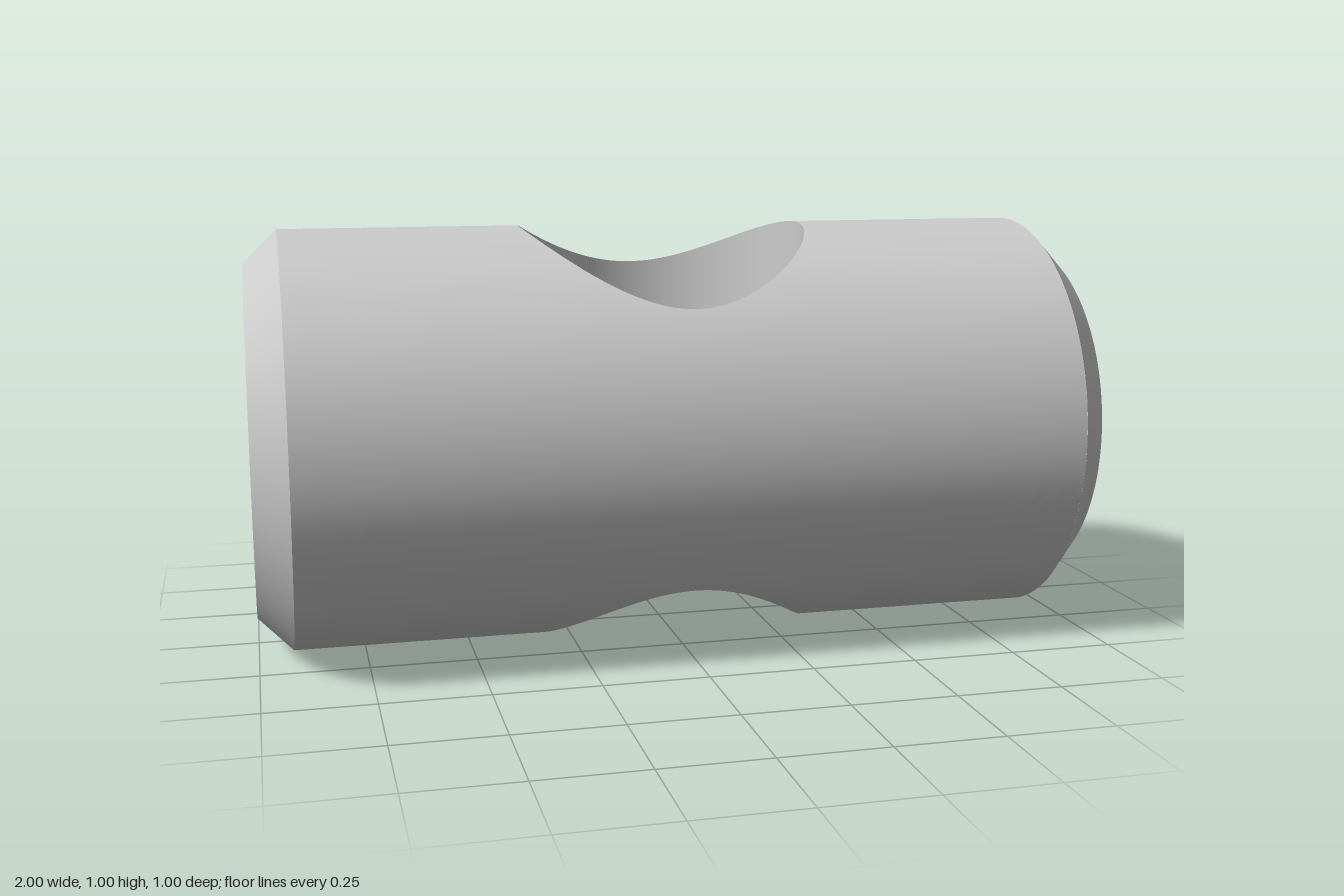
import * as THREE from 'three';
import { ParametricGeometry } from 'three/addons/geometries/ParametricGeometry.js';

const R = 0.5;            // bar radius
const HALF = 1;           // half length
const CHAMFER = 0.08;
const HOLE_R = 0.35;
const HOLE_Z = 0.025;     // the cross hole sits slightly forward of the axis
const SEGS = 192;

// Upper half of the bar surface: blends from the hole rim to the half-shell's border
function shellPoint(u, v, target) {
  const t = u * Math.PI * 2, c = Math.cos(t), s = Math.sin(t);
  const m = Math.max(Math.abs(c), Math.abs(s));
  const rimAngle = Math.asin((HOLE_Z + HOLE_R * s) / R);
  const x = THREE.MathUtils.lerp(HOLE_R * c, (HALF - CHAMFER) * c / m, v);
  const angle = THREE.MathUtils.lerp(rimAngle, (Math.PI / 2) * s / m, v);
  target.set(x, R * Math.cos(angle), R * Math.sin(angle));
}

// Wall of the vertical through hole, ending on the curved bar surface
function holePoint(u, v, target) {
  const t = u * Math.PI * 2;
  const z = HOLE_Z + HOLE_R * Math.sin(t);
  target.set(HOLE_R * Math.cos(t), (2 * v - 1) * Math.sqrt(R * R - z * z), z);
}

export function createModel() {
  const group = new THREE.Group();
  group.name = 'crossDrilledBar';
  const material = new THREE.MeshStandardMaterial({ color: 0xcccccc });

  const add = (name, geometry) => {
    const mesh = new THREE.Mesh(geometry, material);
    mesh.name = name;
    mesh.position.y = R;
    group.add(mesh);
    return mesh;
  };

  // Bar surface in two halves, the lower one turned half a turn about z
  const shell = new ParametricGeometry(shellPoint, SEGS, 24);
  add('upperShell', shell);
  add('lowerShell', shell).rotation.z = Math.PI;

  add('holeWall', new ParametricGeometry(holePoint, SEGS, 4));

  // Chamfered ends
  const chamfer = new THREE.CylinderGeometry(R - CHAMFER, R, CHAMFER, SEGS, 1, true);
  const disc = new THREE.CircleGeometry(R - CHAMFER, SEGS);
  for (const [side, dir] of [['left', 1], ['right', -1]]) {
    const ring = add(side + 'Chamfer', chamfer);
    ring.rotation.z = -dir * Math.PI / 2;
    ring.position.x = dir * (HALF - CHAMFER / 2);

    const face = add(side + 'EndFace', disc);
    face.rotation.y = dir * Math.PI / 2;
    face.position.x = dir * HALF;
  }

  return group;
}
